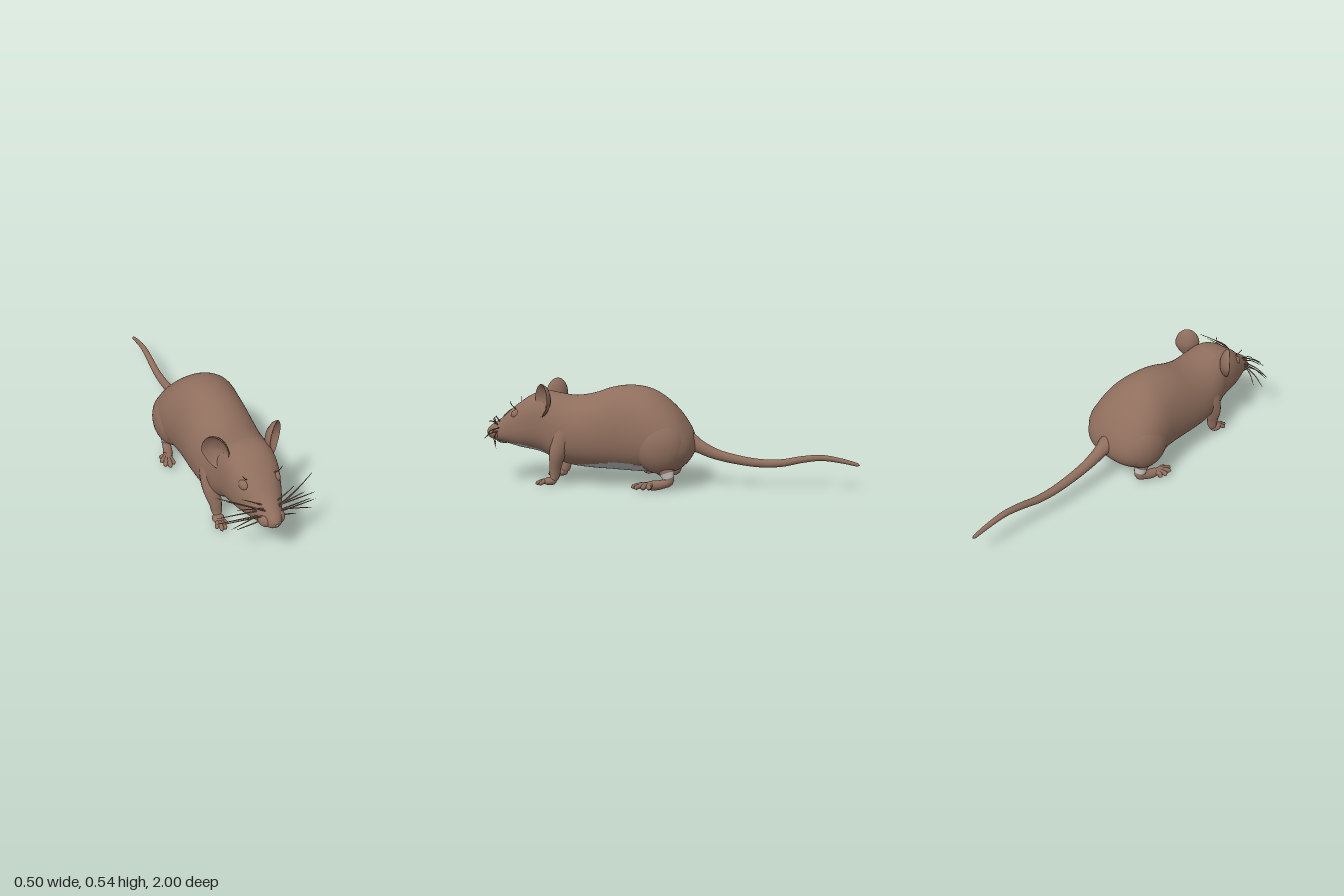
import * as THREE from 'three';

const V = (x, y, z) => new THREE.Vector3(x, y, z);
const brown = new THREE.MeshStandardMaterial({ color: 0x8f6e5d });
brown.name = 'brown fur';
const grey = new THREE.MeshStandardMaterial({ color: 0xb4b6b8 });
grey.name = 'pale belly';

// Value of an evenly spaced list at t in 0..1
function sample(list, t) {
  const f = t * (list.length - 1), i = Math.min(Math.floor(f), list.length - 2);
  return THREE.MathUtils.lerp(list[i], list[i + 1], f - i);
}

// Tapered tube along points with a rounded tip
function limb(name, points, radii, segs = 16, sides = 12, tip = 0.15) {
  const curve = new THREE.CatmullRomCurve3(points.map((p) => V(...p)));
  const geo = new THREE.TubeGeometry(curve, segs, 1, sides);
  const pos = geo.attributes.position, v = V(), n = geo.attributes.normal;
  for (let i = 0; i <= segs; i++) {
    const t = i / segs, c = curve.getPointAt(t);
    const k = Math.max(0, (t - 1 + tip) / tip);
    const r = sample(radii, t) * Math.sqrt(Math.max(0.0004, 1 - k * k));
    for (let j = 0; j <= sides; j++) {
      const id = i * (sides + 1) + j;
      v.fromBufferAttribute(n, id).multiplyScalar(r).add(c);
      pos.setXYZ(id, v.x, v.y, v.z);
    }
  }
  const mesh = new THREE.Mesh(geo, brown);
  mesh.name = name;
  return mesh;
}

function ellipsoid(name, center, radii, mat = brown) {
  const mesh = new THREE.Mesh(new THREE.SphereGeometry(1, 28, 20), mat);
  mesh.name = name;
  mesh.position.set(...center);
  mesh.scale.set(...radii);
  return mesh;
}

// Head and trunk sections: z, top, bottom, half width, squareness
const sections = [
  [1.0, 0.275, 0.255, 0.006, 2], [0.985, 0.295, 0.235, 0.03, 2],
  [0.95, 0.32, 0.222, 0.05, 2], [0.9, 0.355, 0.212, 0.073, 2.1],
  [0.85, 0.4, 0.2, 0.096, 2.2], [0.8, 0.437, 0.188, 0.115, 2.4],
  [0.75, 0.47, 0.18, 0.13, 2.5], [0.7, 0.49, 0.17, 0.139, 2.5],
  [0.65, 0.495, 0.152, 0.148, 2.4], [0.6, 0.487, 0.125, 0.163, 2.2],
  [0.5, 0.475, 0.1, 0.18, 2], [0.4, 0.49, 0.09, 0.187, 2],
  [0.3, 0.522, 0.085, 0.19, 2], [0.2, 0.535, 0.08, 0.196, 2],
  [0.1, 0.52, 0.078, 0.212, 2], [0.02, 0.477, 0.075, 0.218, 2],
  [-0.05, 0.412, 0.088, 0.205, 2.1], [-0.1, 0.345, 0.125, 0.168, 2.1],
  [-0.13, 0.29, 0.165, 0.115, 2], [-0.15, 0.23, 0.21, 0.01, 2],
];

// Half width of the pale underside at z
function bellyWidth(z) {
  if (z > 0.91 || z < -0.03) return 0;
  return sample([0.08, 0.145, 0.155, 0.15, 0.13, 0.1, 0.092, 0.09, 0.085, 0.03], (z + 0.03) / 0.94);
}

function makeBody() {
  const spine = (f) => new THREE.CatmullRomCurve3(sections.map(f), false, 'catmullrom', 0.5);
  const profile = spine((s) => V(s[0], s[1], s[2])), shape = spine((s) => V(s[3], s[4], 0));
  const rings = 114, sides = 96, pos = [], fur = [], belly = [];
  for (let i = 0; i <= rings; i++) {
    const p = profile.getPoint(i / rings), q = shape.getPoint(i / rings);
    const mid = p.z + 0.45 * (p.y - p.z);
    for (let j = 0; j < sides; j++) {
      const a = (j / sides) * Math.PI * 2, c = Math.cos(a), s = Math.sin(a);
      const up = s > 0 ? p.y - mid : mid - p.z;
      const e = 2 / (s > 0 ? q.y : 2.3);
      pos.push(Math.sign(c) * Math.abs(c) ** e * q.x, mid + Math.sign(s) * Math.abs(s) ** e * up, p.x);
    }
  }
  for (let i = 0; i < rings; i++) {
    for (let j = 0; j < sides; j++) {
      const k = (j + 1) % sides;
      const a = i * sides + j, b = i * sides + k, c = a + sides, d = b + sides;
      const x = Math.abs(pos[a * 3] + pos[d * 3]) / 2;
      const pale = j >= sides / 2 && x < bellyWidth(pos[a * 3 + 2]);
      (pale ? belly : fur).push(a, c, b, b, c, d);
    }
  }
  const geo = new THREE.BufferGeometry();
  geo.setAttribute('position', new THREE.Float32BufferAttribute(pos, 3));
  geo.setIndex([...fur, ...belly]);
  geo.addGroup(0, fur.length, 0);
  geo.addGroup(fur.length, belly.length, 1);
  geo.computeVertexNormals();
  const mesh = new THREE.Mesh(geo, [brown, grey]);
  mesh.name = 'headAndBody';
  return mesh;
}

// Cupped ear, narrower towards its root
function makeEar(s) {
  const outline = [[0, -0.04], [0.5, -0.034], [0.85, -0.018], [0.98, -0.003], [1, 0.004],
    [0.97, 0.007], [0.85, -0.004], [0.5, -0.022], [0, -0.028]];
  const geo = new THREE.LatheGeometry(outline.map((p) => new THREE.Vector2(...p)), 40);
  geo.rotateX(Math.PI / 2);
  const pos = geo.attributes.position;
  for (let i = 0; i < pos.count; i++) {
    const y = pos.getY(i);
    pos.setX(i, pos.getX(i) * 0.068 * (y < 0 ? 1 + 0.35 * y : 1));
    pos.setY(i, y * 0.088);
  }
  geo.computeVertexNormals();
  const ear = new THREE.Mesh(geo, brown);
  ear.name = 'ear';
  ear.position.set(s * 0.148, 0.461, 0.645);
  ear.rotation.set(0, s * 0.75, -s * 0.12);
  return ear;
}

function makeFrontLeg(s) {
  const g = new THREE.Group();
  g.name = 'frontLeg';
  g.add(limb('foreleg', [[s * 0.1, 0.33, 0.52], [s * 0.125, 0.24, 0.55], [s * 0.132, 0.17, 0.575],
    [s * 0.12, 0.1, 0.59], [s * 0.115, 0.05, 0.597], [s * 0.115, 0.022, 0.61]],
  [0.06, 0.066, 0.052, 0.038, 0.029, 0.026], 28, 16));
  g.add(ellipsoid('frontPaw', [s * 0.117, 0.026, 0.622], [0.03, 0.022, 0.036]));
  [[0.085, 0.66], [0.105, 0.695], [0.128, 0.7], [0.15, 0.675]].forEach(([x, z]) => g.add(
    limb('frontToe', [[s * 0.117, 0.027, 0.62], [s * (0.117 + x) / 2, 0.024, (0.63 + z) / 2], [s * x, 0.01, z]],
      [0.014, 0.012, 0.01], 10, 10)));
  return g;
}

function makeHindLeg(s) {
  const g = new THREE.Group();
  g.name = 'hindLeg';
  g.add(ellipsoid('haunch', [s * 0.132, 0.235, 0.03], [0.098, 0.145, 0.135]));
  g.add(limb('hindShank', [[s * 0.14, 0.17, 0.02], [s * 0.145, 0.1, -0.01], [s * 0.147, 0.055, -0.023],
    [s * 0.157, 0.036, 0.02], [s * 0.178, 0.032, 0.1]], [0.07, 0.045, 0.028, 0.023, 0.026, 0.022], 28, 16));
  const cuff = limb('paleAnkle', [[s * 0.145, 0.1, -0.01], [s * 0.146, 0.082, -0.016], [s * 0.147, 0.066, -0.021]],
    [0.042, 0.034, 0.03], 8, 16, 0.01);
  cuff.material = grey;
  g.add(cuff);
  [[0.218, 0.065], [0.229, 0.105], [0.218, 0.15], [0.192, 0.17], [0.163, 0.15]].forEach(([x, z]) => g.add(
    limb('hindToe', [[s * 0.172, 0.034, 0.06], [s * (0.18 + x) / 2, 0.036, (0.09 + z) / 2], [s * x, 0.024, z]],
      [0.016, 0.014, 0.012], 10, 10)));
  return g;
}

// Whisker tips: x, y, z and root height
const whiskerTips = [
  [0.245, 0.39, 0.86, 0.315], [0.2, 0.37, 0.88, 0.305], [0.25, 0.292, 0.89, 0.295],
  [0.235, 0.278, 0.92, 0.285], [0.245, 0.24, 0.87, 0.28], [0.2, 0.262, 0.95, 0.275],
  [0.155, 0.2, 0.9, 0.265], [0.17, 0.35, 0.93, 0.315], [0.13, 0.375, 0.9, 0.325],
];

function makeFace(s) {
  const g = new THREE.Group();
  g.name = 'faceSide';
  g.add(ellipsoid('closedEye', [s * 0.08, 0.375, 0.805], [0.022, 0.026, 0.034]));
  g.add(ellipsoid('muzzlePad', [s * 0.03, 0.262, 0.94], [0.034, 0.034, 0.04]));
  whiskerTips.forEach(([x, y, z, root], i) => {
    const z0 = 0.945 - (i % 3) * 0.015;
    g.add(limb('whisker', [[s * 0.035, root, z0], [s * (0.04 + x) / 2, (root + y) / 2 + 0.008, (z0 + z) / 2 + 0.008], [s * x, y, z]],
      [0.0035, 0.0028, 0.0015], 10, 5));
  });
  g.add(limb('browHair', [[s * 0.07, 0.405, 0.815], [s * 0.085, 0.425, 0.83], [s * 0.1, 0.45, 0.835]],
    [0.003, 0.0025, 0.0015], 8, 5));
  return g;
}

export function createModel() {
  const model = new THREE.Group();
  model.name = 'mouse';
  model.add(makeBody());
  model.add(ellipsoid('nose', [0, 0.27, 0.978], [0.02, 0.018, 0.021]));
  model.add(ellipsoid('lowerJaw', [0, 0.224, 0.905], [0.036, 0.02, 0.045]));
  model.add(limb('tail', [[0, 0.26, -0.08], [0, 0.215, -0.16], [0, 0.175, -0.25], [0, 0.145, -0.38], [0, 0.132, -0.5],
    [0, 0.137, -0.6], [0, 0.158, -0.7], [0, 0.17, -0.8], [0, 0.158, -0.9], [0, 0.136, -1]],
  [0.055, 0.034, 0.027, 0.024, 0.022, 0.02, 0.018, 0.016, 0.013, 0.009], 80, 18, 0.02));
  for (const s of [-1, 1]) model.add(makeEar(s), makeFrontLeg(s), makeHindLeg(s), makeFace(s));
  model.children.forEach((part) => { part.position.x -= 0.008; });
  return model;
}
